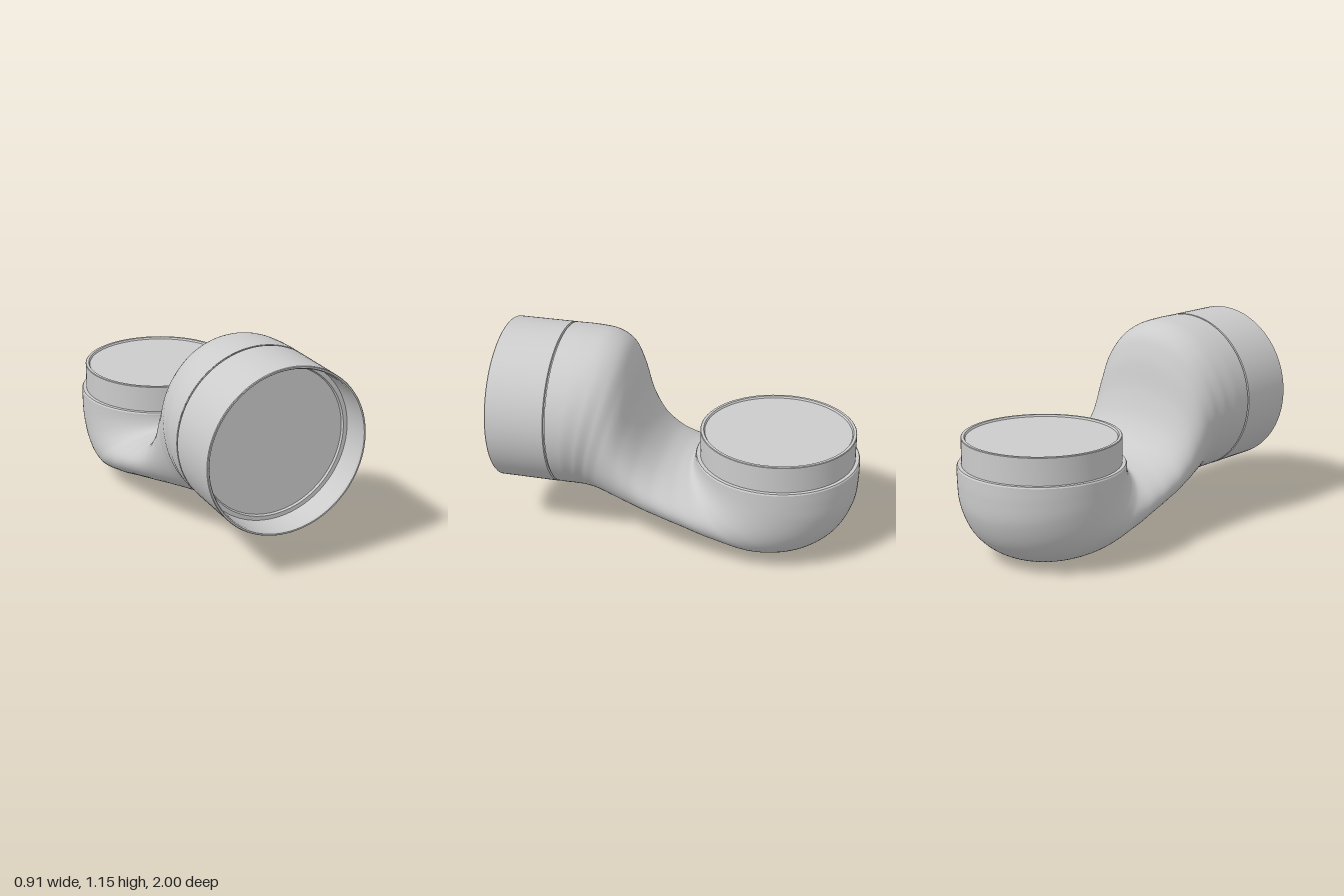
import * as THREE from 'three';
import { toCreasedNormals } from 'three/addons/utils/BufferGeometryUtils.js';

const material = new THREE.MeshStandardMaterial({ color: 0xcccccc, side: THREE.DoubleSide });

// Cross-sections along the pipe: upper z, upper y, lower z, lower y, half width
const SECTIONS = [
  [0.655, 1.15, 0.655, 0.242, 0.454],
  [0.52, 1.15, 0.62, 0.24, 0.452],
  [0.4, 1.137, 0.57, 0.238, 0.44],
  [0.315, 1.085, 0.52, 0.235, 0.424],
  [0.262, 0.97, 0.46, 0.23, 0.414],
  [0.218, 0.77, 0.36, 0.215, 0.412],
  [0.16, 0.62, 0.25, 0.2, 0.417],
  [0.08, 0.52, 0.1, 0.17, 0.427],
  [0.0, 0.475, -0.1, 0.118, 0.436],
  [-0.05, 0.462, -0.33, 0.05, 0.444],
  [-0.073, 0.46, -0.6, 0.0, 0.452],
  [-0.081, 0.468, -0.78, 0.04, 0.455],
  [-0.085, 0.48, -0.91, 0.14, 0.455],
  [-0.088, 0.495, -0.985, 0.29, 0.455],
  [-0.09, 0.508, -1.0, 0.42, 0.455],
  [-0.09, 0.512, -1.0, 0.512, 0.455],
];

// Skin of the double bend, lofted through elliptical sections
function bendGeometry(steps = 120, sides = 96) {
  const curve = (f) => new THREE.CatmullRomCurve3(SECTIONS.map(f));
  const upper = curve((s) => new THREE.Vector3(0, s[1], s[0]));
  const lower = curve((s) => new THREE.Vector3(0, s[3], s[2]));
  const n = SECTIONS.length - 1;
  const positions = [];
  const index = [];
  for (let i = 0; i <= steps; i++) {
    const t = i / steps;
    const a = upper.getPoint(t);
    const b = lower.getPoint(t);
    const k = Math.min(Math.floor(t * n), n - 1);
    const f = THREE.MathUtils.smoothstep(t * n - k, 0, 1);
    const width = THREE.MathUtils.lerp(SECTIONS[k][4], SECTIONS[k + 1][4], f);
    const centre = a.clone().add(b).multiplyScalar(0.5);
    const half = a.clone().sub(b).multiplyScalar(0.5);
    for (let j = 0; j < sides; j++) {
      const angle = (j / sides) * Math.PI * 2;
      const c = Math.cos(angle);
      positions.push(width * Math.sin(angle), centre.y + half.y * c, centre.z + half.z * c);
      if (i === steps) continue;
      const p = i * sides + j;
      const q = i * sides + ((j + 1) % sides);
      index.push(p, q, p + sides, q, q + sides, p + sides);
    }
  }
  const geometry = new THREE.BufferGeometry();
  geometry.setAttribute('position', new THREE.Float32BufferAttribute(positions, 3));
  geometry.setIndex(index);
  geometry.computeVertexNormals();
  return geometry;
}

// Turned part from [radius, height] pairs, with sharp edges
function turned(name, profile) {
  const lathe = new THREE.LatheGeometry(profile.map(([r, h]) => new THREE.Vector2(r, h)), 96);
  const mesh = new THREE.Mesh(toCreasedNormals(lathe, 0.5), material);
  mesh.name = name;
  return mesh;
}

export function createModel() {
  const model = new THREE.Group();
  model.name = 'pipeOffsetBend';

  const bend = new THREE.Mesh(bendGeometry(), material);
  bend.name = 'bend';
  model.add(bend);

  // Horizontal socket: groove, sleeve, thin rim, bore, stop ring and closing disc
  const socket = turned('socket', [
    [0.454, 0.655], [0.445, 0.657], [0.445, 0.663], [0.455, 0.666],
    [0.455, 0.996], [0.452, 1], [0.444, 1], [0.438, 0.99],
    [0.435, 0.85], [0.412, 0.85], [0.406, 0.838], [0, 0.838],
  ]);
  socket.rotation.x = Math.PI / 2;
  socket.position.y = 0.695;
  model.add(socket);

  // Upright spigot: shoulder lip, narrower collar, end ring and closing disc
  const spigot = turned('spigot', [
    [0.455, 0.512], [0.45, 0.52], [0.43, 0.52], [0.43, 0.667],
    [0.427, 0.67], [0.412, 0.67], [0.406, 0.66], [0, 0.66],
  ]);
  spigot.position.z = -0.545;
  model.add(spigot);

  return model;
}
